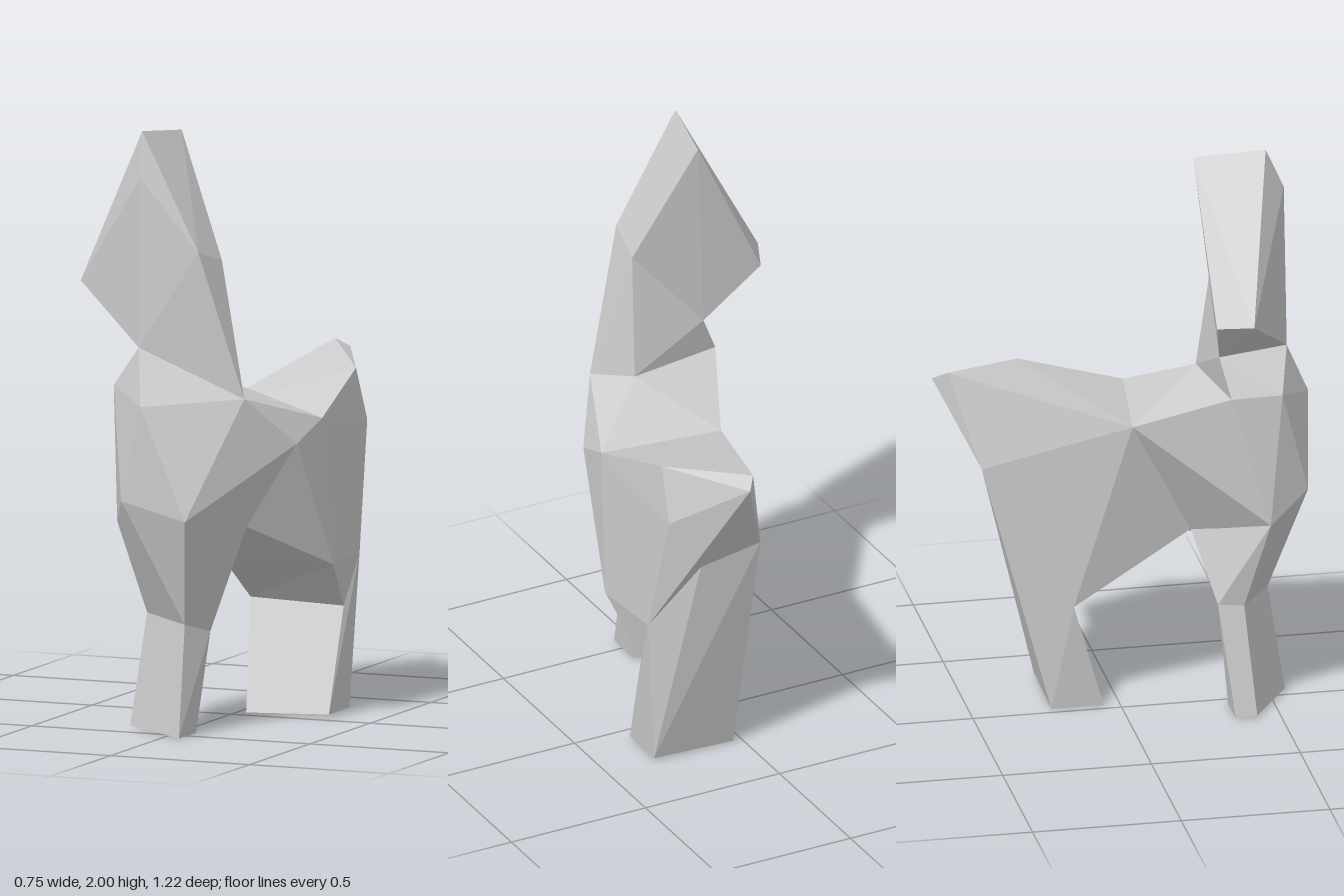
import * as THREE from 'three';
import { ConvexGeometry } from 'three/addons/geometries/ConvexGeometry.js';

const v = (x, y, z) => new THREE.Vector3(x, y, z);

// Joint outlines shared by neighbouring parts, so the facets meet exactly
const jaw = [v(-0.10, 1.29, 0.535), v(-0.14, 1.28, 0.30)];
const nape = [v(0.09, 1.61, 0.48), v(0.11, 1.565, 0.33)];
const withers = [v(0.225, 1.12, 0.41), v(0.13, 1.15, 0.275)];
const rightShoulder = v(-0.20, 1.15, 0.33);
const collar = [v(-0.205, 1.155, 0.50), rightShoulder, v(-0.06, 1.105, 0.615)];
const breast = [v(-0.135, 0.785, 0.60), v(0.10, 0.73, 0.615)];
const rightElbow = v(-0.21, 0.695, 0.46);
const leftElbow = v(0.205, 0.685, 0.345);
const leftRib = v(0.34, 0.955, 0.24);
const belly = v(0.04, 0.6, 0.24);
const armpit = [belly, v(-0.03, 0.60, 0.32)];
const waist = [v(-0.06, 1.02, 0.025), v(0.36, 1.02, 0.075), v(0.375, 0.525, 0.02)];
const thighBack = [v(0.355, 0.525, -0.245), v(0.05, 0.865, -0.46), v(0.235, 0.835, -0.41)];
const rightHock = v(0.0, 0.37, -0.16);
const hock = [rightHock, v(0.335, 0.36, -0.16)];
const frontKnee = [
  v(0.05, 0.37, 0.50), v(0.09, 0.335, 0.38), v(-0.12, 0.39, 0.30), v(-0.135, 0.385, 0.385),
];

export function createModel() {
  const group = new THREE.Group();
  const material = new THREE.MeshStandardMaterial({ color: 0xcccccc, flatShading: true });

  // Each part is a faceted block stretched over its corner points
  const block = (name, ...corners) => {
    const mesh = new THREE.Mesh(new ConvexGeometry(corners.flat()), material);
    mesh.name = name;
    group.add(mesh);
  };

  // Head turned to the right, with a tall flat crest
  const crest = [v(-0.12, 2.0, 0.46), v(-0.08, 1.975, 0.225), v(-0.10, 1.855, 0.525)];
  const muzzle = [v(-0.38, 1.475, 0.37), v(-0.33, 1.46, 0.255)];
  block('head', crest, muzzle, nape, jaw);
  block('neck', nape, jaw, withers);
  block('neckBase', jaw, withers, collar);

  // Body, curving from chest to haunch
  block('chest', collar, withers, breast, rightElbow, leftElbow, leftRib, armpit);
  block('barrel', rightShoulder, withers, leftRib, leftElbow, rightElbow, armpit, waist);
  const hip = [v(0.325, 1.135, -0.285), v(0.335, 0.955, -0.355)];
  const tail = [v(0.13, 1.185, -0.56), v(0.165, 1.155, -0.605)];
  block('haunch', waist, belly, rightHock, hip, tail, thighBack);

  // Single front leg with a five-sided foot
  block('frontUpperLeg', breast, rightElbow, leftElbow, armpit, frontKnee);
  const frontFoot = [
    v(0.055, 0, 0.56), v(0.06, 0, 0.43), v(-0.04, 0, 0.35), v(-0.17, 0, 0.35), v(-0.18, 0.01, 0.42),
  ];
  block('frontLowerLeg', frontKnee, frontFoot);

  // Single broad hind leg
  block('hindThigh', waist[2], thighBack, hock);
  const hindFoot = [
    v(0.325, 0.01, -0.06), v(0.325, 0.01, -0.23), v(0.03, 0, -0.055), v(0.03, 0, -0.23),
  ];
  block('hindLowerLeg', hock, thighBack, hindFoot);

  return group;
}
